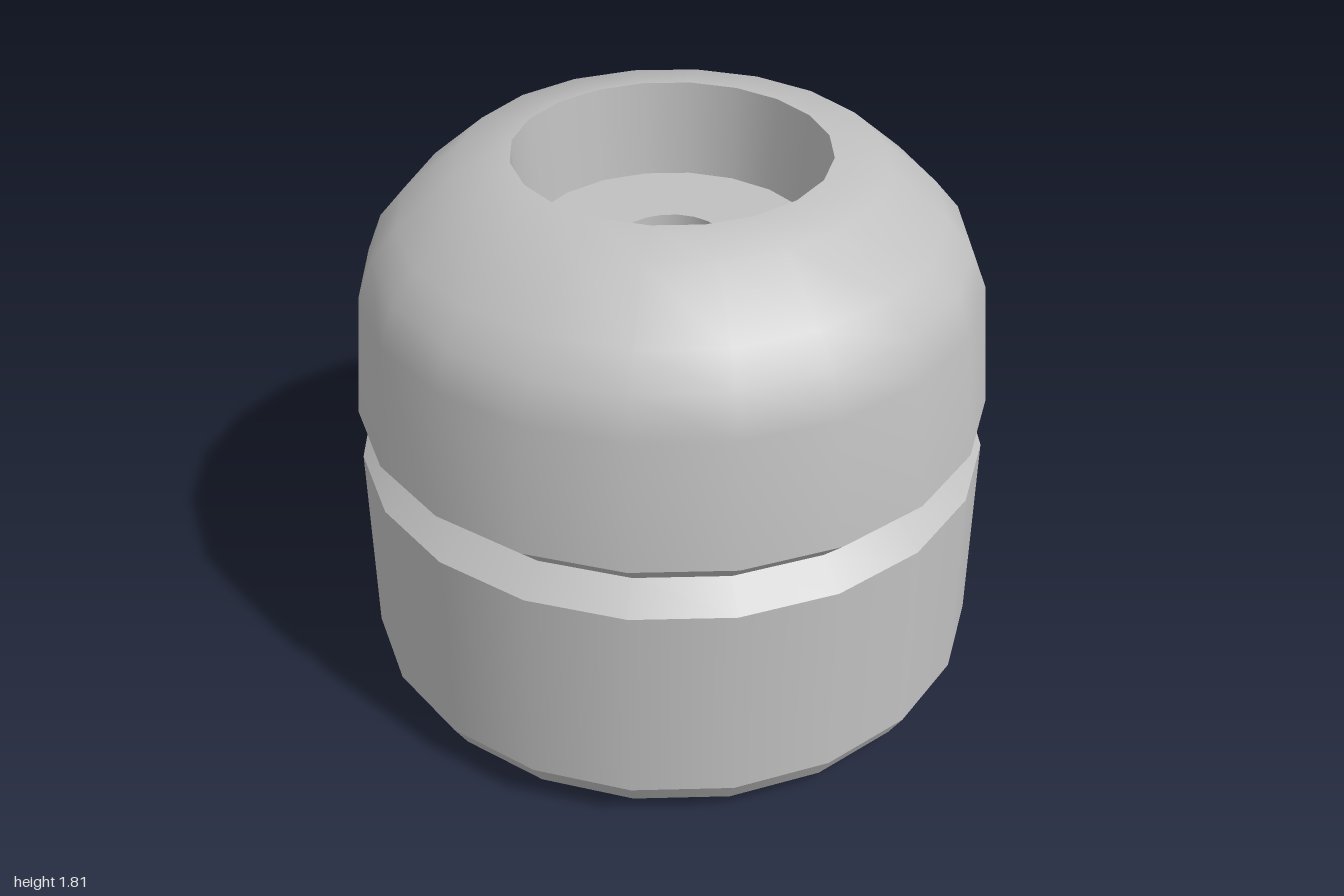
import * as THREE from 'three';

const SIDES = 20;

export function createModel() {
  const model = new THREE.Group();
  model.name = 'bumper';
  const grey = new THREE.MeshStandardMaterial({ color: 0xc0c0c0 });
  grey.name = 'grey rubber';

  // One smooth turned surface; separate surfaces meet in sharp edges.
  const turn = (name, profile) => {
    const points = profile.map(([r, y]) => new THREE.Vector2(r, y));
    const mesh = new THREE.Mesh(new THREE.LatheGeometry(points, SIDES), grey);
    mesh.name = name;
    model.add(mesh);
  };

  // Outside, from the base up to the rim
  turn('lowerChamfer', [[0.835, 0], [0.95, 0.065]]);
  turn('upperChamfer', [[0.95, 0.065], [1, 0.15]]);
  turn('lowerBody', [[1, 0.15], [1, 0.82]]);
  turn('grooveLower', [[1, 0.82], [0.91, 0.9]]);
  turn('grooveUpper', [[0.91, 0.9], [1, 0.99]]);
  turn('dome', [[1, 0.99], [0.963, 1.4], [0.914, 1.525], [0.835, 1.62], [0.652, 1.78], [0.485, 1.807]]);

  // Recess in the top, bore, and recess in the base
  turn('topRecessWall', [[0.485, 1.807], [0.46, 1.5]]);
  turn('topRecessFloor', [[0.46, 1.5], [0.165, 1.5]]);
  turn('bore', [[0.165, 1.5], [0.165, 0.265]]);
  turn('baseRecessFloor', [[0.165, 0.265], [0.465, 0.265]]);
  turn('baseRecessWall', [[0.465, 0.265], [0.485, 0]]);
  turn('base', [[0.485, 0], [0.835, 0]]);

  return model;
}
